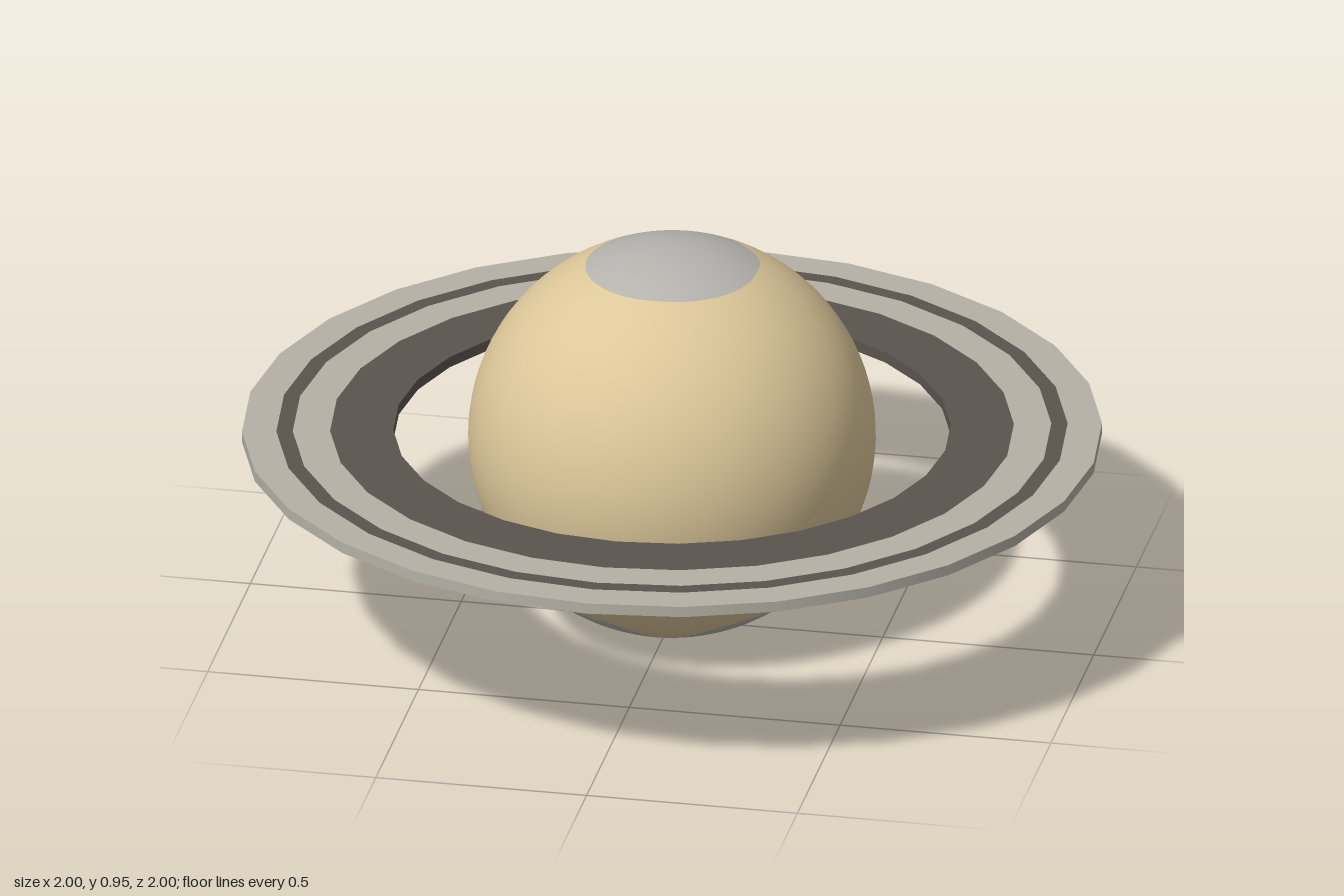
import * as THREE from 'three';

const R = 0.474, CENTER = 0.474;
const RING_LOW = 0.465, RING_HIGH = 0.491, RING_SIDES = 28;

function paint(name, color) {
  const m = new THREE.MeshStandardMaterial({ color });
  m.name = name;
  return m;
}

// Height read around the globe from evenly spaced samples, angle 0 at +z turning to +x
function around(samples) {
  return (a) => {
    const n = samples.length;
    const t = ((a / (2 * Math.PI)) * n + n) % n;
    const i = Math.floor(t);
    return THREE.MathUtils.lerp(samples[i % n], samples[(i + 1) % n], t - i);
  };
}

// Smooth strip of the sphere between two wavy height lines
function zone(low, high, rows, cols = 72) {
  const pos = [], nor = [], idx = [];
  const lat = (y) => Math.asin(THREE.MathUtils.clamp((y - CENTER) / R, -1, 1));
  for (let j = 0; j <= rows; j++) {
    for (let i = 0; i <= cols; i++) {
      const a = (i / cols) * Math.PI * 2;
      const p = THREE.MathUtils.lerp(lat(low(a)), lat(high(a)), j / rows);
      const n = [Math.cos(p) * Math.sin(a), Math.sin(p), Math.cos(p) * Math.cos(a)];
      nor.push(...n);
      pos.push(n[0] * R, n[1] * R + CENTER, n[2] * R);
      if (i < cols && j < rows) {
        const q = j * (cols + 1) + i, up = q + cols + 1;
        idx.push(q, q + 1, up + 1, q, up + 1, up);
      }
    }
  }
  const g = new THREE.BufferGeometry();
  g.setAttribute('position', new THREE.Float32BufferAttribute(pos, 3));
  g.setAttribute('normal', new THREE.Float32BufferAttribute(nor, 3));
  g.setIndex(idx);
  return g;
}

export function createModel() {
  const model = new THREE.Group();
  model.name = 'ringedPlanet';
  const sand = paint('sand', 0xdcc799);
  const polar = paint('polarGrey', 0xb5b3ae);
  const pale = paint('paleRing', 0xb5b1a6);
  const dark = paint('darkRing', 0x5a544f);

  const add = (parent, name, geometry, material) => {
    const mesh = new THREE.Mesh(geometry, material);
    mesh.name = name;
    parent.add(mesh);
  };

  // Globe with uneven polar caps
  const globe = new THREE.Group();
  globe.name = 'globe';
  model.add(globe);
  const southEdge = around([
    0.06, 0.05, 0.10, 0.12, 0.12, 0.12, 0.09, 0.06, 0.04, 0.05, 0.11, 0.06,
    0.08, 0.07, 0.06, 0.115, 0.09, 0.06, 0.06, 0.12, 0.115, 0.12, 0.12, 0.115,
  ]);
  const northEdge = around([
    0.904, 0.903, 0.903, 0.903, 0.904, 0.900, 0.903, 0.896,
    0.904, 0.903, 0.903, 0.903, 0.903, 0.903, 0.903, 0.903,
  ]);
  add(globe, 'globeBody', zone(southEdge, northEdge, 32), sand);
  add(globe, 'southCap', zone(() => 0, southEdge, 8), polar);
  add(globe, 'northCap', zone(northEdge, () => 2 * R, 8), polar);

  // Flat ring: concentric bands on both sides, closed by an inner and outer rim
  const ring = new THREE.Group();
  ring.name = 'ring';
  model.add(ring);
  const strip = (name, r0, y0, r1, y1, material) =>
    add(ring, name, new THREE.LatheGeometry(
      [new THREE.Vector2(r0, y0), new THREE.Vector2(r1, y1)], RING_SIDES), material);
  const bands = [
    [0.648, 0.795, dark],
    [0.795, 0.882, pale],
    [0.882, 0.92, dark],
    [0.92, 1, pale],
  ];
  bands.forEach(([inner, outer, material], i) => {
    strip(`ringTopBand${i + 1}`, outer, RING_HIGH, inner, RING_HIGH, material);
    strip(`ringBottomBand${i + 1}`, inner, RING_LOW, outer, RING_LOW, material);
  });
  strip('ringOuterRim', 1, RING_LOW, 1, RING_HIGH, pale);
  strip('ringInnerRim', 0.648, RING_HIGH, 0.648, RING_LOW, dark);

  return model;
}
